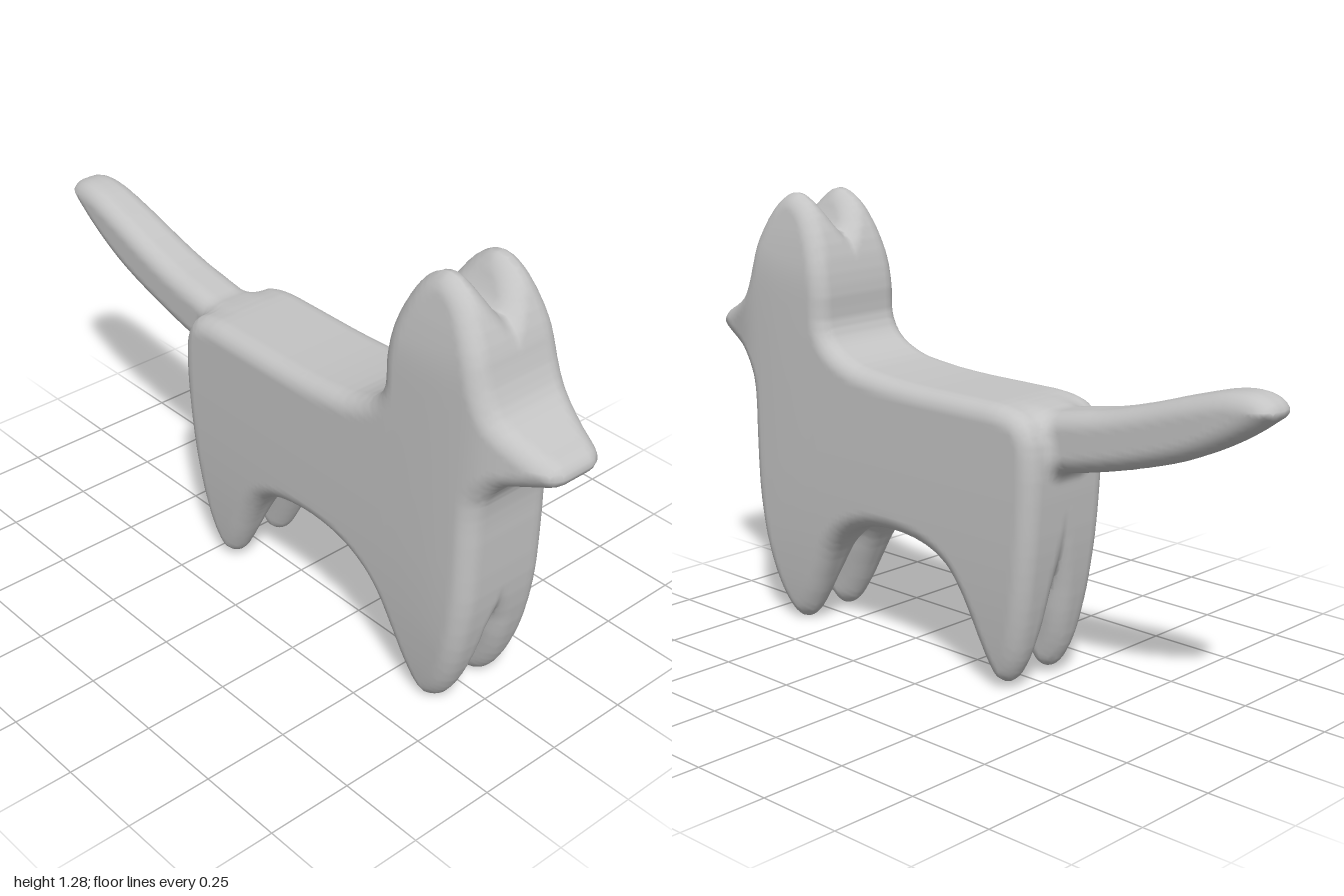
import * as THREE from 'three';

const ROUND = 0.05; // edge rounding
const STEP = 0.016; // mesh cell size

// Closed side outline from [z, y] points, as a dense flat list
function outline(points, count) {
  const curve = new THREE.CatmullRomCurve3(
    points.map(([z, y]) => new THREE.Vector3(z, y, 0)), true, 'centripetal');
  return curve.getPoints(count).map((p) => [p.x, p.y]);
}

// Smooth width profile from [position, value] pairs
function profile(pairs) {
  const track = new THREE.CubicInterpolant(
    pairs.map((p) => p[0]), pairs.map((p) => p[1]), 1, [0]);
  return (t) => track.evaluate(
    Math.min(Math.max(t, pairs[0][0]), pairs[pairs.length - 1][0]))[0];
}

// Signed distance to an outline, negative inside
function outlineDistance(poly, z, y) {
  let best = Infinity, inside = false;
  for (let i = 0; i < poly.length - 1; i++) {
    const [az, ay] = poly[i], [bz, by] = poly[i + 1];
    const ez = bz - az, ey = by - ay, pz = z - az, py = y - ay;
    const t = Math.min(1, Math.max(0, (pz * ez + py * ey) / (ez * ez + ey * ey || 1)));
    const dz = pz - ez * t, dy = py - ey * t;
    best = Math.min(best, dz * dz + dy * dy);
    if ((ay > y) !== (by > y) && z < az + (ez * (y - ay)) / ey) inside = !inside;
  }
  return Math.sqrt(best) * (inside ? -1 : 1);
}

const smoothMin = (a, b, k) => {
  const h = Math.max(k - Math.abs(a - b), 0) / k;
  return Math.min(a, b) - h * h * k / 4;
};
const smoothMax = (a, b, k) => -smoothMin(-a, -b, k);
const roundedCut = (a, b) => {
  const u = a + ROUND, v = b + ROUND;
  return Math.min(Math.max(u, v), 0) + Math.hypot(Math.max(u, 0), Math.max(v, 0)) - ROUND;
};

// Side outline: snout, head, back, rump, hind leg, belly, front leg, chest, chin
const bodyOutline = outline([
  [1, .863], [.985, .892], [.92, .923], [.84, .973], [.802, 1.04], [.773, 1.13], [.72, 1.23],
  [.675, 1.273], [.633, 1.288], [.59, 1.274], [.543, 1.23], [.49, 1.12], [.47, 1.01],
  [.467, .92], [.436, .87], [.356, .83], [.25, .813], [.1, .804], [-.1, .803], [-.22, .8],
  [-.29, .78], [-.325, .73], [-.336, .65], [-.33, .5], [-.315, .35], [-.29, .2], [-.26, .09],
  [-.225, .028], [-.195, .014], [-.165, .028], [-.13, .09], [-.08, .2], [-.04, .27], [0, .315],
  [.07, .35], [.2, .368], [.32, .353], [.4, .315], [.455, .26], [.51, .16], [.55, .08],
  [.59, .018], [.63, -.003], [.67, .018], [.71, .075], [.755, .2], [.785, .37], [.793, .55],
  [.795, .67], [.806, .73], [.85, .787], [.9, .808], [.95, .825], [.985, .84],
], 160);

const tailOutline = outline([
  [-.2, .76], [-.3, .785], [-.4, .804], [-.48, .818], [-.6, .85], [-.75, .898], [-.88, .932],
  [-.95, .932], [-.99, .912], [-1, .887], [-.97, .86], [-.88, .8], [-.75, .735], [-.6, .685],
  [-.45, .647], [-.36, .63], [-.28, .62], [-.2, .65],
], 70);

// Half widths along height and length
const widthByHeight = profile([[0, .124], [.1, .138], [.2, .147], [.3, .153], [.5, .16],
  [.95, .16], [1.05, .156], [1.15, .143], [1.22, .13], [1.29, .116]]);
const widthByLength = profile([[.5, .162], [.6, .161], [.7, .157], [.8, .147], [.9, .118], [1, .088]]);
const tailWidth = profile([[-1, .063], [-.8, .072], [-.5, .078], [-.3, .081]]);

// Half width of the split between left and right legs and ears
const frontSplit = profile([[0, .032], [.1, .022], [.2, .009], [.27, 0], [.4, -.045], [.5, -.07],
  [.95, -.07], [1.1, -.045], [1.175, 0], [1.2, .014], [1.25, .034], [1.29, .04]]);
const hindSplit = profile([[0, .032], [.1, .022], [.2, .009], [.28, 0], [.4, -.022], [.6, -.06], [.8, -.07]]);

// Signed field of the whole animal, negative inside
function field(x, y, z) {
  const ax = Math.abs(x);
  const width = smoothMin(widthByHeight(y), widthByLength(z), 0.01);
  const blend = THREE.MathUtils.smoothstep(z, 0, 0.4);
  const split = THREE.MathUtils.lerp(hindSplit(y), frontSplit(y), blend);
  const slab = smoothMax(ax - width, split - (Math.hypot(x, 0.01) - 0.01), 0.02);
  const body = roundedCut(outlineDistance(bodyOutline, z, y), slab);
  if (z > 0) return body;
  const tail = roundedCut(outlineDistance(tailOutline, z, y), ax - tailWidth(z));
  return smoothMin(body, tail, 0.04);
}

function gradient([x, y, z]) {
  const e = 0.003;
  return [
    (field(x + e, y, z) - field(x - e, y, z)) / (2 * e),
    (field(x, y + e, z) - field(x, y - e, z)) / (2 * e),
    (field(x, y, z + e) - field(x, y, z - e)) / (2 * e),
  ];
}

// Skin the field: one vertex per crossed cell, one quad per crossed grid edge
function buildSkin() {
  const size = [27, 88, 135], start = [-13 * STEP, -0.04, -67 * STEP];
  const stride = [1, size[0], size[0] * size[1]];
  const values = new Float32Array(size[0] * size[1] * size[2]);
  const eachNode = (margin, visit) => {
    for (let k = margin; k < size[2] - margin; k++)
      for (let j = margin; j < size[1] - margin; j++)
        for (let i = margin; i < size[0] - margin; i++)
          visit([i, j, k], i + j * stride[1] + k * stride[2]);
  };
  eachNode(0, (c, n) => {
    values[n] = field(...c.map((v, a) => start[a] + v * STEP));
  });

  const positions = [], normals = [], vertexOf = new Map();
  const cellVertex = (n) => {
    if (vertexOf.has(n)) return vertexOf.get(n);
    const cell = [n % size[0], Math.floor(n / stride[1]) % size[1], Math.floor(n / stride[2])];
    const sum = [0, 0, 0];
    let hits = 0;
    for (let corner = 0; corner < 8; corner++) {
      const bits = [corner & 1, (corner >> 1) & 1, corner >> 2];
      const from = n + bits[0] + bits[1] * stride[1] + bits[2] * stride[2];
      for (let a = 0; a < 3; a++) {
        const f0 = values[from], f1 = values[from + stride[a]];
        if (bits[a] || (f0 < 0) === (f1 < 0)) continue;
        for (let b = 0; b < 3; b++) sum[b] += bits[b] + (a === b ? f0 / (f0 - f1) : 0);
        hits++;
      }
    }
    const p = sum.map((s, a) => start[a] + (cell[a] + s / hits) * STEP);
    // Settle the vertex on the surface
    for (let pass = 0; pass < 2; pass++) {
      const g = gradient(p);
      const move = field(...p) / Math.max(0.3, g[0] ** 2 + g[1] ** 2 + g[2] ** 2);
      const limited = THREE.MathUtils.clamp(move, -STEP / 2, STEP / 2);
      for (let a = 0; a < 3; a++) p[a] -= limited * g[a];
    }
    const normal = new THREE.Vector3(...gradient(p)).normalize();
    vertexOf.set(n, positions.length / 3);
    positions.push(...p);
    normals.push(normal.x, normal.y, normal.z);
    return vertexOf.get(n);
  };

  const parts = { head: [], torso: [], legs: [], tail: [] };
  eachNode(1, (c, n) => {
    const y = start[1] + c[1] * STEP, z = start[2] + c[2] * STEP;
    const part = z < -0.36 ? 'tail' : y < 0.36 ? 'legs' : y > 0.8 && z > 0.45 ? 'head' : 'torso';
    for (let a = 0; a < 3; a++) {
      const inside = values[n] < 0;
      if (inside === (values[n + stride[a]] < 0)) continue;
      const u = stride[(a + 1) % 3], v = stride[(a + 2) % 3];
      const q = [n - u - v, n - v, n, n - u].map(cellVertex);
      if (!inside) q.reverse();
      parts[part].push(q[0], q[1], q[2], q[0], q[2], q[3]);
    }
  });
  return { positions, normals, parts };
}

export function createModel() {
  const group = new THREE.Group();
  group.name = 'dog';
  const clay = new THREE.MeshStandardMaterial({ color: 0xc4c4c4 });
  clay.name = 'light grey';
  const { positions, normals, parts } = buildSkin();
  const position = new THREE.Float32BufferAttribute(positions, 3);
  const normal = new THREE.Float32BufferAttribute(normals, 3);

  // Parts share one seamless skin
  for (const [name, index] of Object.entries(parts)) {
    const geometry = new THREE.BufferGeometry();
    geometry.setAttribute('position', position);
    geometry.setAttribute('normal', normal);
    geometry.setIndex(index);
    const mesh = new THREE.Mesh(geometry, clay);
    mesh.name = name;
    group.add(mesh);
  }
  return group;
}
